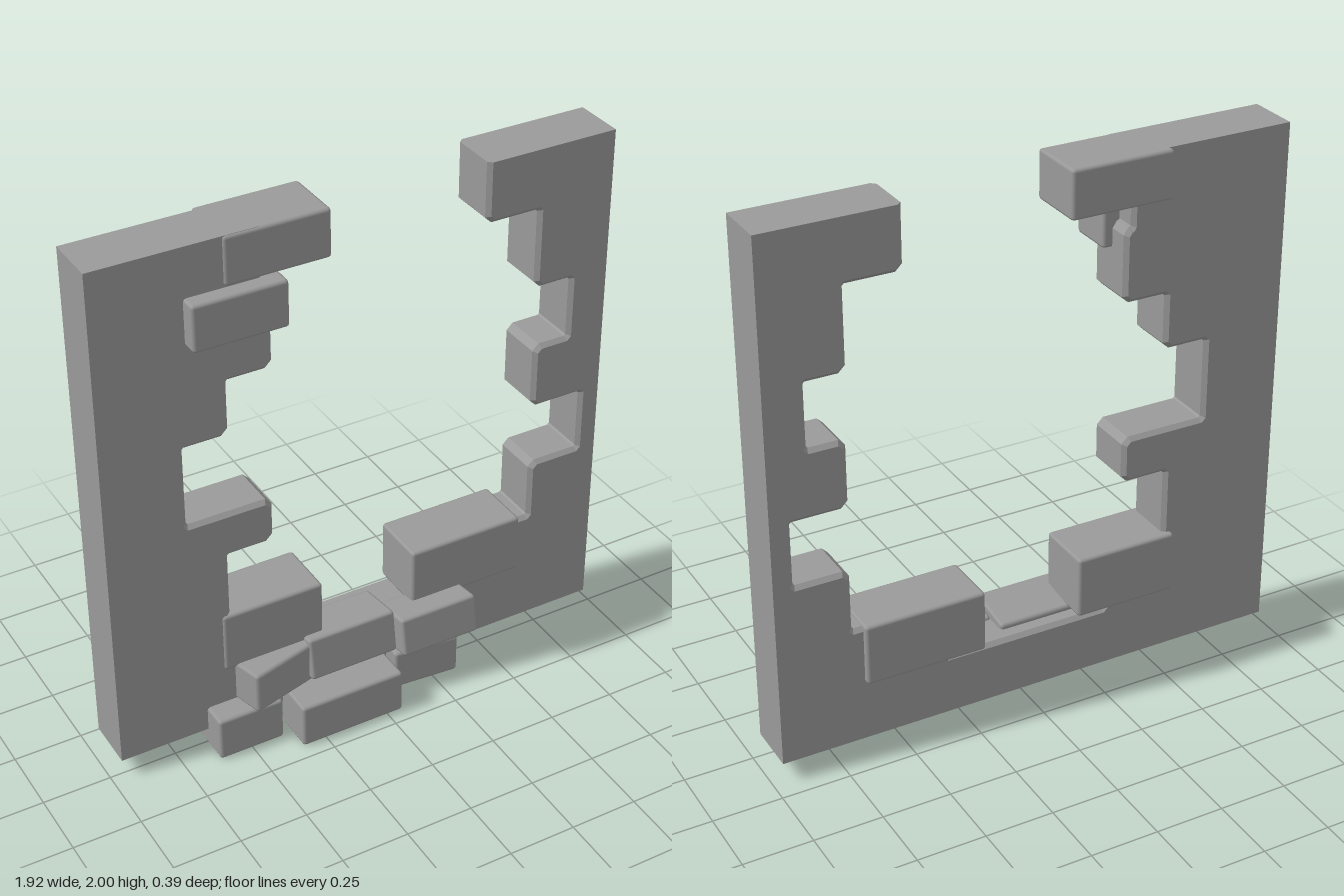
import * as THREE from 'three';
import { RoundedBoxGeometry } from 'three/addons/geometries/RoundedBoxGeometry.js';

const material = new THREE.MeshStandardMaterial({ color: 0x9a9a9a });
const flatMaterial = new THREE.MeshStandardMaterial({ color: 0x9a9a9a, flatShading: true });

const HALF_WIDTH = 0.96, BOTTOM = 0.075, TOP = 2;
const BACK = -0.173, FRONT = 0.02, BEVEL = 0.015;

// Stepped edge of the broken opening, from the top left down and up to the top right
const opening = [
  [-0.375, 2], [-0.375, 1.73], [-0.35, 1.73], [-0.35, 1.49], [-0.515, 1.49], [-0.515, 1.283],
  [-0.68, 1.283], [-0.68, 0.95], [-0.363, 0.95], [-0.363, 0.806], [-0.535, 0.806],
  [-0.535, 0.4], [-0.3, 0.4], [-0.3, 0.285], [0.35, 0.285], [0.35, 0.4],
  [0.6, 0.4], [0.6, 0.505], [0.7, 0.505], [0.7, 0.737],
  [0.9, 0.737], [0.9, 1.003], [0.695, 1.003], [0.695, 1.225], [0.83, 1.225],
  [0.83, 1.488], [0.685, 1.488], [0.685, 1.788], [0.48, 1.788], [0.48, 2],
].map(([x, y]) => new THREE.Vector2(x, y));

// Cut every inner corner of a path with a small diagonal
function chamferCorners(points, size) {
  return points.flatMap((p, i) => {
    if (i === 0 || i === points.length - 1) return [p];
    return [points[i - 1], points[i + 1]].map((q) => {
      const d = q.clone().sub(p);
      return p.clone().add(d.setLength(Math.min(size, d.length() * 0.4)));
    });
  });
}

// Wall slab: bevelled along the opening, sharp along its outer rectangle
function createWall() {
  const outline = [
    ...chamferCorners(opening, 0.015),
    new THREE.Vector2(HALF_WIDTH, TOP), new THREE.Vector2(HALF_WIDTH, BOTTOM),
    new THREE.Vector2(-HALF_WIDTH, BOTTOM), new THREE.Vector2(-HALF_WIDTH, TOP),
  ];
  const geometry = new THREE.ExtrudeGeometry(new THREE.Shape(outline), {
    depth: FRONT - BACK - 2 * BEVEL,
    bevelEnabled: true, bevelSize: BEVEL, bevelThickness: BEVEL, bevelSegments: 1,
  });
  geometry.translate(0, 0, BACK + BEVEL);
  // Flatten the bevel on the outer sides
  const pos = geometry.attributes.position;
  for (let i = 0; i < pos.count; i++) {
    pos.setX(i, THREE.MathUtils.clamp(pos.getX(i), -HALF_WIDTH, HALF_WIDTH));
    pos.setY(i, THREE.MathUtils.clamp(pos.getY(i), BOTTOM, TOP));
  }
  geometry.computeVertexNormals();
  const wall = new THREE.Mesh(geometry, flatMaterial);
  wall.name = 'brokenWall';
  return wall;
}

// Bricks: name, centre, size, tilt about x, turn about y
const bricks = [
  ['topBrick', [-0.31, 1.912, -0.083], [0.38, 0.176, 0.224]],
  ['upperBrick', [-0.47, 1.735, -0.005], [0.34, 0.17, 0.168]],
  ['sillBrickRight', [-0.362, 0.429, -0.083], [0.387, 0.232, 0.224]],
  ['sillBrickLeft', [0.423, 0.415, -0.085], [0.45, 0.23, 0.219]],
  ['rubbleMiddleRight', [-0.355, 0.246, -0.008], [0.32, 0.16, 0.2], 0, 0.26],
  ['rubbleMiddleCentre', [-0.075, 0.252, -0.013], [0.345, 0.164, 0.19], -0.15],
  ['rubbleMiddleLeft', [0.25, 0.25, 0.053], [0.308, 0.15, 0.165], -0.16],
  ['rubbleBottomRight', [-0.502, 0.086, 0.028], [0.25, 0.168, 0.17]],
  ['rubbleBottomCentre', [-0.141, 0.085, 0.113], [0.404, 0.17, 0.164]],
  ['rubbleBottomLeft', [0.218, 0.093, 0.026], [0.252, 0.156, 0.165], 0, -0.08],
];

export function createModel() {
  const model = new THREE.Group();
  model.name = 'brokenWallWithRubble';
  model.add(createWall());
  for (const [name, centre, size, tilt = 0, turn = 0] of bricks) {
    const brick = new THREE.Mesh(new RoundedBoxGeometry(...size, 1, 0.012), material);
    brick.name = name;
    brick.position.set(...centre);
    brick.rotation.set(tilt, turn, 0);
    model.add(brick);
  }
  return model;
}
